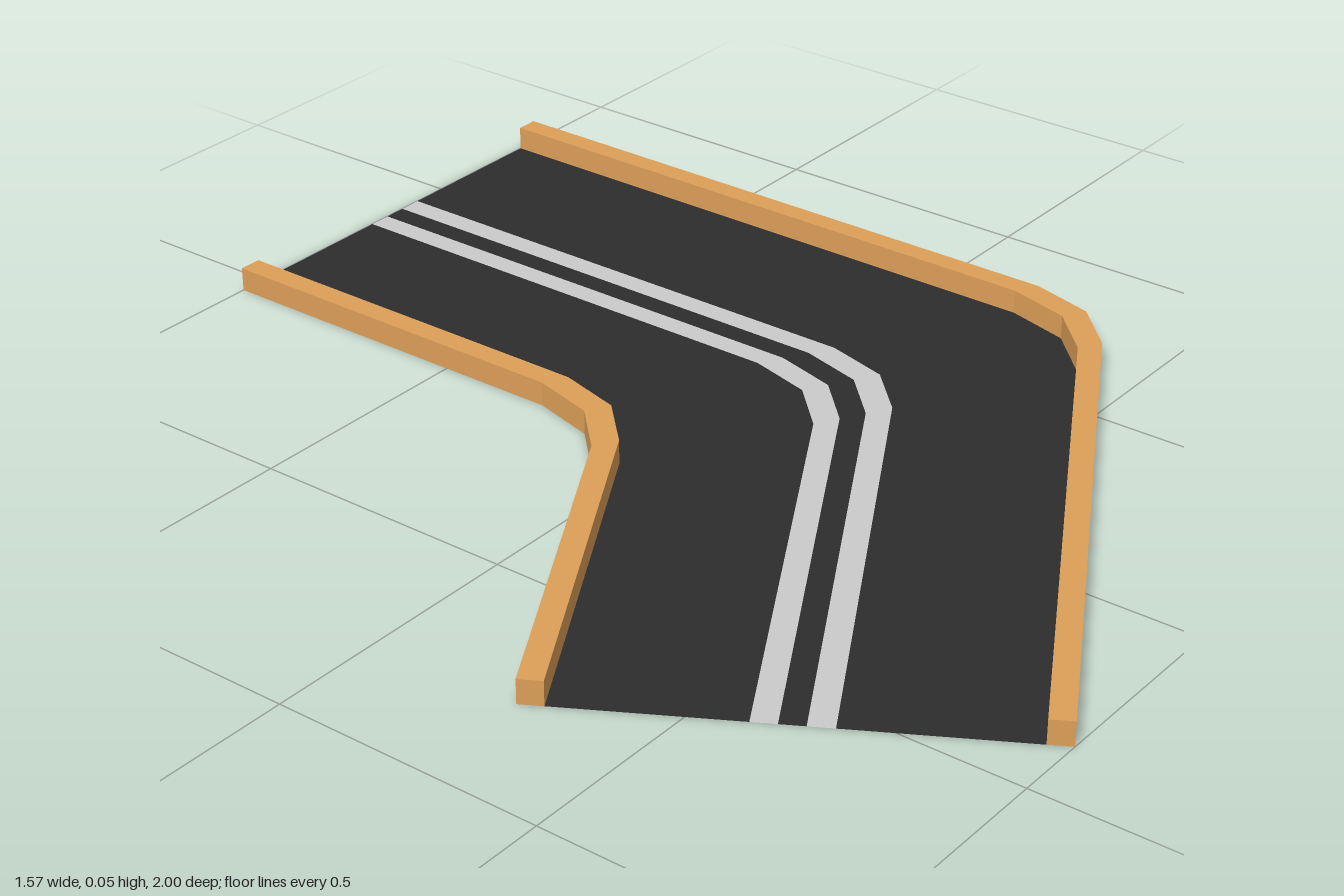
import * as THREE from 'three';

const CURB_HEIGHT = 0.045;
const INNER = -0.053, OUTER = 0.784; // outside edges of the two curbs

// Plan of the line that starts at x = c on the back end: straight, two-step bend, straight
function pathAt(c) {
  const start = -0.28 + (c - INNER) * Math.tan(Math.PI / 6);
  const t = (c - INNER) / (OUTER - INNER);
  return [
    [c, -1],
    [c, start],
    [c - 0.033, start + 0.122],
    [c - 0.119, start + 0.208],
    [-0.784 + 0.415 * t, 0.28 + 0.72 * t],
  ];
}

// Sweep a profile of [c, y] points along the bend, optionally closing both ends
function sweep(name, color, profile, capped = false) {
  const rails = profile.map(([c, y]) => pathAt(c).map(([x, z]) => [x, y, z]));
  const positions = [];
  const quad = (a, b, c, d) => positions.push(...a, ...b, ...c, ...a, ...c, ...d);
  for (let r = 0; r < rails.length - 1; r++) {
    const a = rails[r], b = rails[r + 1];
    for (let i = 0; i < a.length - 1; i++) quad(a[i], a[i + 1], b[i + 1], b[i]);
  }
  if (capped) {
    const last = rails[0].length - 1;
    quad(...rails.map((rail) => rail[0]));
    quad(...rails.map((rail) => rail[last]).reverse());
  }
  const geometry = new THREE.BufferGeometry();
  geometry.setAttribute('position', new THREE.Float32BufferAttribute(positions, 3));
  geometry.computeVertexNormals();
  const material = new THREE.MeshStandardMaterial({ color, flatShading: true, side: THREE.DoubleSide });
  const mesh = new THREE.Mesh(geometry, material);
  mesh.name = name;
  return mesh;
}

export function createModel() {
  const group = new THREE.Group();
  group.name = 'roadBend';

  // Flat road: asphalt lanes alternating with two painted lines
  const edges = [-0.01, 0.3, 0.343, 0.386, 0.43, 0.742];
  const names = ['innerLane', 'innerLine', 'centreGap', 'outerLine', 'outerLane'];
  names.forEach((name, i) => {
    const color = i % 2 ? 0xcccccc : 0x2d2d2d;
    group.add(sweep(name, color, [[edges[i], 0], [edges[i + 1], 0]]));
  });

  // Raised curbs, open underneath
  for (const [name, c1, c2] of [['innerCurb', INNER, edges[0]], ['outerCurb', edges[5], OUTER]]) {
    const profile = [[c1, 0], [c1, CURB_HEIGHT], [c2, CURB_HEIGHT], [c2, 0]];
    group.add(sweep(name, 0xdd9f58, profile, true));
  }
  return group;
}
